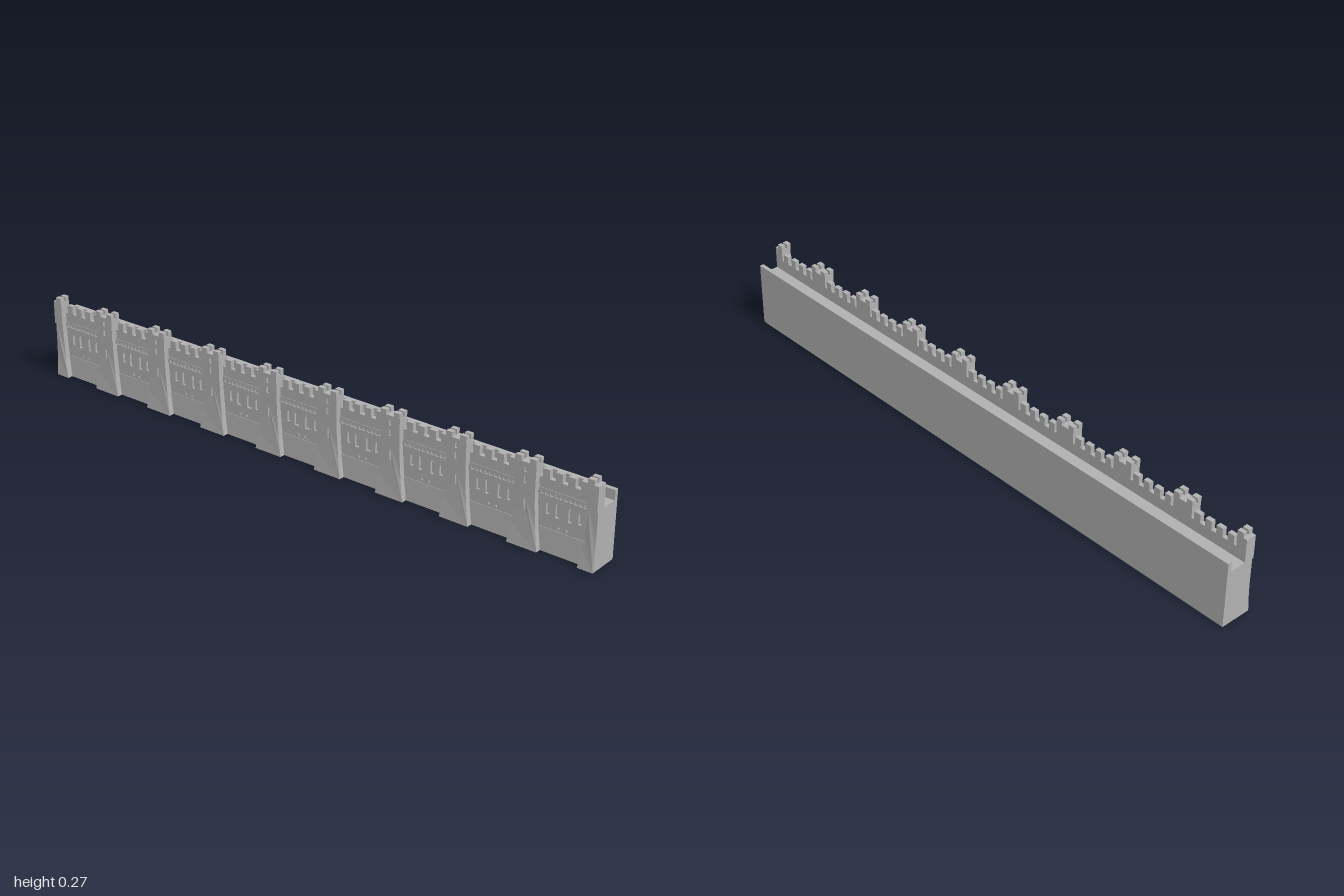
import * as THREE from 'three';

const BAYS = 9, PITCH = 2 / BAYS;
const stone = new THREE.MeshStandardMaterial({ color: 0xb0b0b0 });
stone.name = 'stone';

function add(parent, name, geo) {
  const m = new THREE.Mesh(geo, stone);
  m.name = name;
  parent.add(m);
  return m;
}

// Box given by its limits
function box(parent, name, x0, x1, y0, y1, z0, z1) {
  const g = new THREE.BoxGeometry(x1 - x0, y1 - y0, z1 - z0);
  g.translate((x0 + x1) / 2, (y0 + y1) / 2, (z0 + z1) / 2);
  return add(parent, name, g);
}

function polygon(points) {
  return new THREE.Shape(points.map(p => new THREE.Vector2(p[0], p[1])));
}

// Round-headed opening
function archHole(x, y0, y1, w) {
  const r = w / 2, p = new THREE.Path();
  p.moveTo(x - r, y0);
  p.lineTo(x + r, y0);
  p.lineTo(x + r, y1 - r);
  p.absarc(x, y1 - r, r, 0, Math.PI, false);
  p.lineTo(x - r, y0);
  return p;
}

function slab(shape, z0, z1) {
  const g = new THREE.ExtrudeGeometry(shape, { depth: z1 - z0, bevelEnabled: false, curveSegments: 4 });
  g.translate(0, 0, z0);
  return g;
}

// One stretch of curtain wall between two towers, centred on x = 0
function curtain(index) {
  const g = new THREE.Group();
  g.name = 'curtainBay';
  const h = PITCH / 2;

  // Pierced facing over the solid core
  const face = polygon([[-h, 0.07], [h, 0.07], [h, 0.18], [-h, 0.18]]);
  const big = index >= 3 && index <= 5;
  for (const s of [-1, 1]) {
    face.holes.push(archHole(s * 0.02, 0.108, 0.15, big ? 0.016 : 0.011));
    face.holes.push(archHole(s * 0.05, 0.112, 0.145, 0.01));
    face.holes.push(archHole(s * 0.012, 0.078, 0.085, 0.005));
  }
  add(g, 'windowFacing', slab(face, 0.02, 0.027));

  // Sloping plinth
  const plinth = slab(polygon([[0.015, 0], [0.032, 0], [0.0285, 0.07], [0.015, 0.07]]), -h, h);
  const side = plinth.attributes.position;
  for (let i = 0; i < side.count; i++) {
    side.setXYZ(i, -side.getZ(i), side.getY(i), side.getX(i));
  }
  plinth.computeVertexNormals();
  add(g, 'plinth', plinth);

  // Overhanging parapet on a row of small arches
  const arcade = polygon([[-h, 0.168], [h, 0.168], [h, 0.186], [-h, 0.186]]);
  for (let i = 0; i < 10; i++) {
    arcade.holes.push(archHole(-0.0675 + i * 0.015, 0.1682, 0.18, 0.0105));
  }
  add(g, 'corbelArcade', slab(arcade, 0.025, 0.031));
  box(g, 'parapet', -h, h, 0.178, 0.216, 0.015, 0.0295);

  // Battlements
  for (let i = 0; i < 4; i++) {
    const x = -0.0585 + i * 0.039;
    box(g, 'merlon', x - 0.011, x + 0.011, 0.216, 0.242, 0.015, 0.0295);
  }
  return g;
}

// Flared buttress tower; xMin and xMax clip it at the ends of the wall
function tower(xMin, xMax) {
  const g = new THREE.Group();
  g.name = 'buttressTower';
  const clip = x => Math.min(xMax, Math.max(xMin, x));
  const profile = [[0.048, 0], [0.043, 0.03], [0.038, 0.06], [0.034, 0.1], [0.031, 0.14], [0.03, 0.18]];
  const outline = () => polygon([
    ...profile.map(([w, y]) => [clip(w), y]),
    ...profile.slice().reverse().map(([w, y]) => [clip(-w), y]),
  ]);

  // Front leans out towards the foot
  const lean = geo => {
    const p = geo.attributes.position;
    for (let i = 0; i < p.count; i++) {
      if (p.getZ(i) > 0.03) p.setZ(i, p.getZ(i) + 0.006 * Math.max(0, 1 - p.getY(i) / 0.075));
    }
    geo.computeVertexNormals();
    return geo;
  };
  add(g, 'shaftCore', lean(slab(outline(), 0.015, 0.038)));
  const face = outline();
  const whole = xMin < -0.04 && xMax > 0.04;
  if (whole) face.holes.push(archHole(0, 0.115, 0.145, 0.006));
  add(g, 'shaftFacing', lean(slab(face, 0.038, 0.044)));

  // Head, with arrow loops in its facing
  const a = clip(-0.033), b = clip(0.033);
  box(g, 'headCore', a, b, 0.178, 0.253, 0.015, 0.043);
  const head = polygon([[a, 0.178], [b, 0.178], [b, 0.253], [a, 0.253]]);
  if (whole) {
    head.holes.push(archHole(0, 0.192, 0.212, 0.007));
    head.holes.push(archHole(0, 0.224, 0.24, 0.007));
  }
  add(g, 'headFacing', slab(head, 0.043, 0.0485));

  // Corner merlons
  for (const s of [-1, 1]) {
    const x0 = clip(s < 0 ? -0.033 : 0.013), x1 = clip(s < 0 ? -0.013 : 0.033);
    if (x1 - x0 < 0.005) continue;
    box(g, 'towerMerlon', x0, x1, 0.253, 0.268, 0.0355, 0.05);
    box(g, 'towerMerlon', x0, x1, 0.253, 0.268, 0.015, 0.0285);
  }
  return g;
}

export function createModel() {
  const model = new THREE.Group();
  model.name = 'fortressWall';

  // Solid wall with the walkway on top, and the plain rear parapet
  box(model, 'wallCore', -1, 1, 0, 0.18, -0.05, 0.02);
  box(model, 'rearParapet', -1, 1, 0.18, 0.21, -0.05, -0.037);

  for (let i = 0; i < BAYS; i++) {
    const bay = curtain(i);
    bay.position.x = -1 + (i + 0.5) * PITCH;
    model.add(bay);
  }
  for (let i = 0; i <= BAYS; i++) {
    const t = tower(i === 0 ? 0 : -1, i === BAYS ? 0 : 1);
    t.position.x = -1 + i * PITCH;
    model.add(t);
  }
  return model;
}
